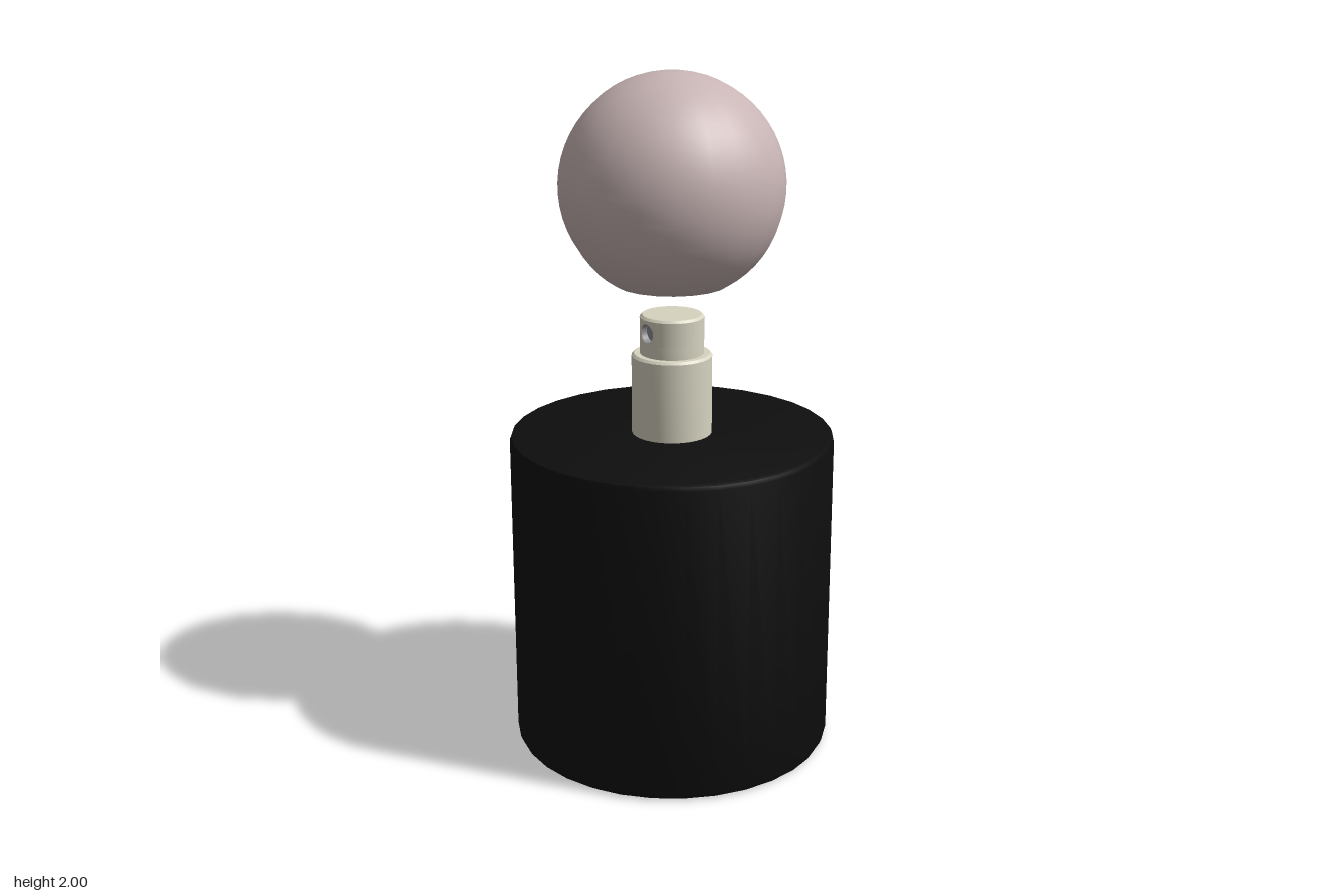
import * as THREE from 'three';
import { toCreasedNormals } from 'three/addons/utils/BufferGeometryUtils.js';
import { ParametricGeometry } from 'three/addons/geometries/ParametricGeometry.js';

const material = (color) => new THREE.MeshStandardMaterial({ color, side: THREE.DoubleSide });
const black = material(0x0e0e0e);
const pink = material(0xc8b4b4);
const ivory = material(0xd6d3c0);
const steel = material(0x8c8c90);

function add(parent, name, geometry, mat) {
  const mesh = new THREE.Mesh(geometry, mat);
  mesh.name = name;
  parent.add(mesh);
  return mesh;
}

// Turned part with sharp edges kept; the profile runs [radius, height].
function turned(profile, sides) {
  const points = profile.map(([r, y]) => new THREE.Vector2(r, y));
  return toCreasedNormals(new THREE.LatheGeometry(points, sides), 0.6);
}

export function createModel() {
  const group = new THREE.Group();

  // Heavy round base with softened rims
  add(group, 'base', turned([
    [0, 0], [0.455, 0], [0.469, 0.006], [0.475, 0.02],
    [0.475, 0.94], [0.471, 0.951], [0.46, 0.955], [0, 0.955],
  ], 32), black);

  // Lower collar of the stem
  const stem = new THREE.Group();
  stem.name = 'stem';
  group.add(stem);
  const R = 0.117, r = 0.093;
  add(stem, 'collar', turned([[R, 0.95], [R, 1.188], [R - 0.007, 1.195], [r, 1.195]], 32), ivory);

  // Upper neck: closed bands above and below the screw hole, open at the front between them
  const y0 = 1.23, y1 = 1.30, yc = 1.265, half = 0.4, holeR = 0.027, floorZ = 0.07;
  add(stem, 'neckFoot', turned([[r, 1.19], [r, y0]], 32), ivory);
  add(stem, 'neckTop', turned([[r, y1], [r, 1.303], [r - 0.007, 1.31], [0, 1.31]], 32), ivory);
  const wall = new THREE.CylinderGeometry(r, r, y1 - y0, 32, 1, true, half, Math.PI * 2 - half * 2);
  add(stem, 'neckWall', wall, ivory).position.y = (y0 + y1) / 2;

  // Front of the neck, spreading from the round hole to a rectangular border
  const patch = (u, v, target) => {
    const a = -u * Math.PI * 2, c = Math.cos(a), s = Math.sin(a);
    const k = 1 / Math.max(Math.abs(c), Math.abs(s));
    const angle = THREE.MathUtils.lerp(Math.asin(holeR * c / r), half * c * k, v);
    const y = THREE.MathUtils.lerp(holeR * s, (y1 - y0) / 2 * s * k, v);
    target.set(r * Math.sin(angle), yc + y, r * Math.cos(angle));
  };
  add(stem, 'neckFront', new ParametricGeometry(patch, 32, 3), ivory);

  // Recessed set screw in the hole
  const bore = (u, v, target) => {
    const a = u * Math.PI * 2, x = holeR * Math.cos(a);
    target.set(x, yc + holeR * Math.sin(a), THREE.MathUtils.lerp(Math.sqrt(r * r - x * x), floorZ, v));
  };
  add(stem, 'screwHole', new ParametricGeometry(bore, 32, 1), steel);
  add(stem, 'setScrew', new THREE.CircleGeometry(holeR, 32), steel).position.set(0, yc, floorZ);

  // Ball knob: flat underside with a blind socket
  const ballR = 0.322, ballY = 1.678, flatY = 1.40;
  const start = Math.asin((flatY - ballY) / ballR), steps = 24;
  const profile = [[0, 1.64], [0.117, 1.64], [0.117, flatY]];
  for (let i = 0; i <= steps; i++) {
    const a = THREE.MathUtils.lerp(start, Math.PI / 2, i / steps);
    profile.push([Math.max(0, ballR * Math.cos(a)), ballY + ballR * Math.sin(a)]);
  }
  add(group, 'ballKnob', turned(profile, 20), pink);

  return group;
}
